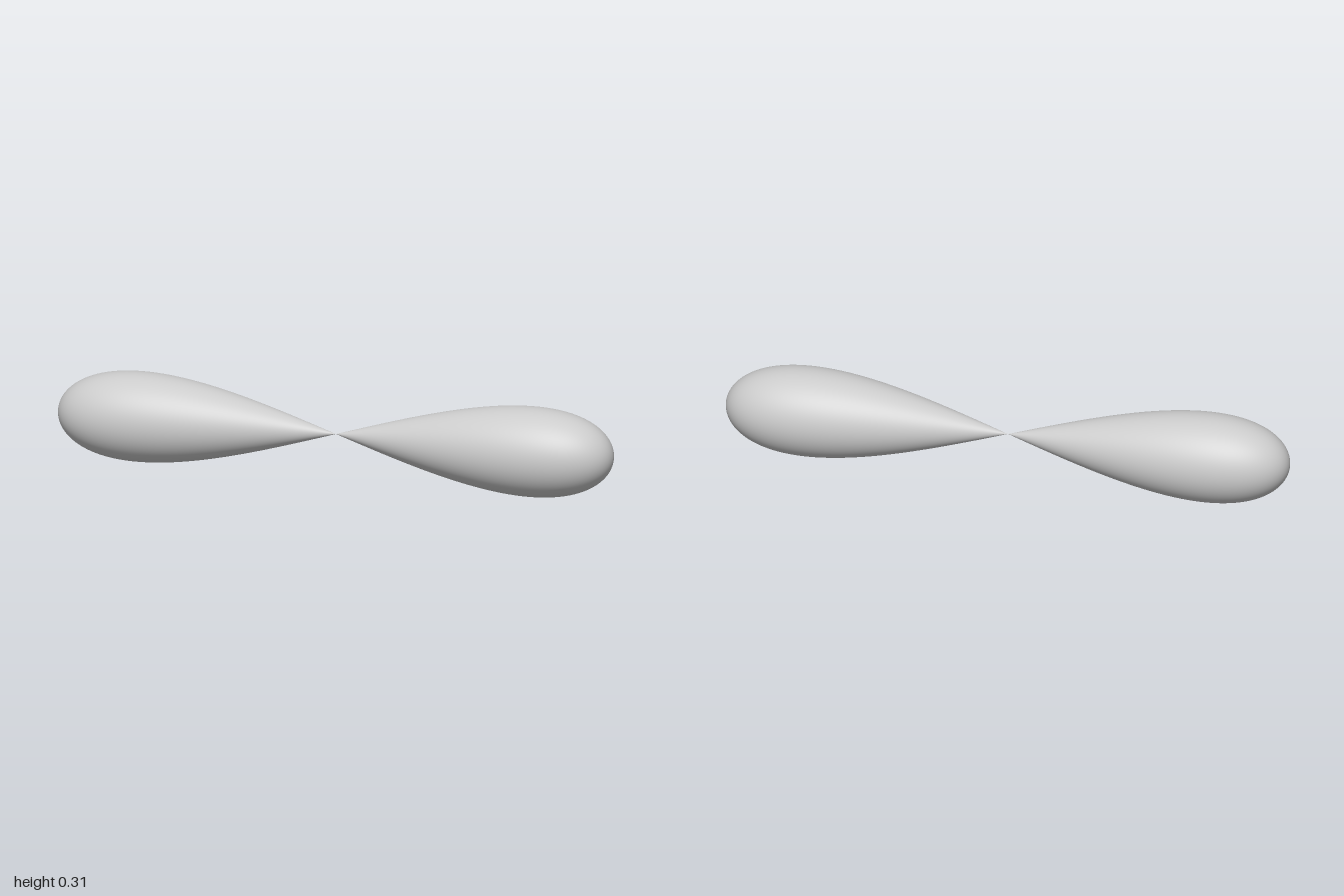
import * as THREE from 'three';

const RADIUS = 0.157; // widest radius of each lobe
const STEPS = 64;

export function createModel() {
  const group = new THREE.Group();
  group.name = 'lemniscateOfRevolution';
  const material = new THREE.MeshStandardMaterial({ color: 0xcccccc });

  // Half of a figure-eight curve, from the pinched centre to the round tip
  const profile = [];
  for (let i = 0; i <= STEPS; i++) {
    const t = (i / STEPS) * Math.PI / 2;
    profile.push(new THREE.Vector2(Math.max(0, RADIUS * Math.sin(2 * t)), Math.sin(t)));
  }
  profile[STEPS].x = 0;
  const lobeGeometry = new THREE.LatheGeometry(profile, 96);

  // Two teardrop lobes laid along x, meeting at a point
  for (const [name, side] of [['leftLobe', 1], ['rightLobe', -1]]) {
    const lobe = new THREE.Mesh(lobeGeometry, material);
    lobe.name = name;
    lobe.rotation.z = -side * Math.PI / 2;
    lobe.position.y = RADIUS;
    group.add(lobe);
  }
  return group;
}
